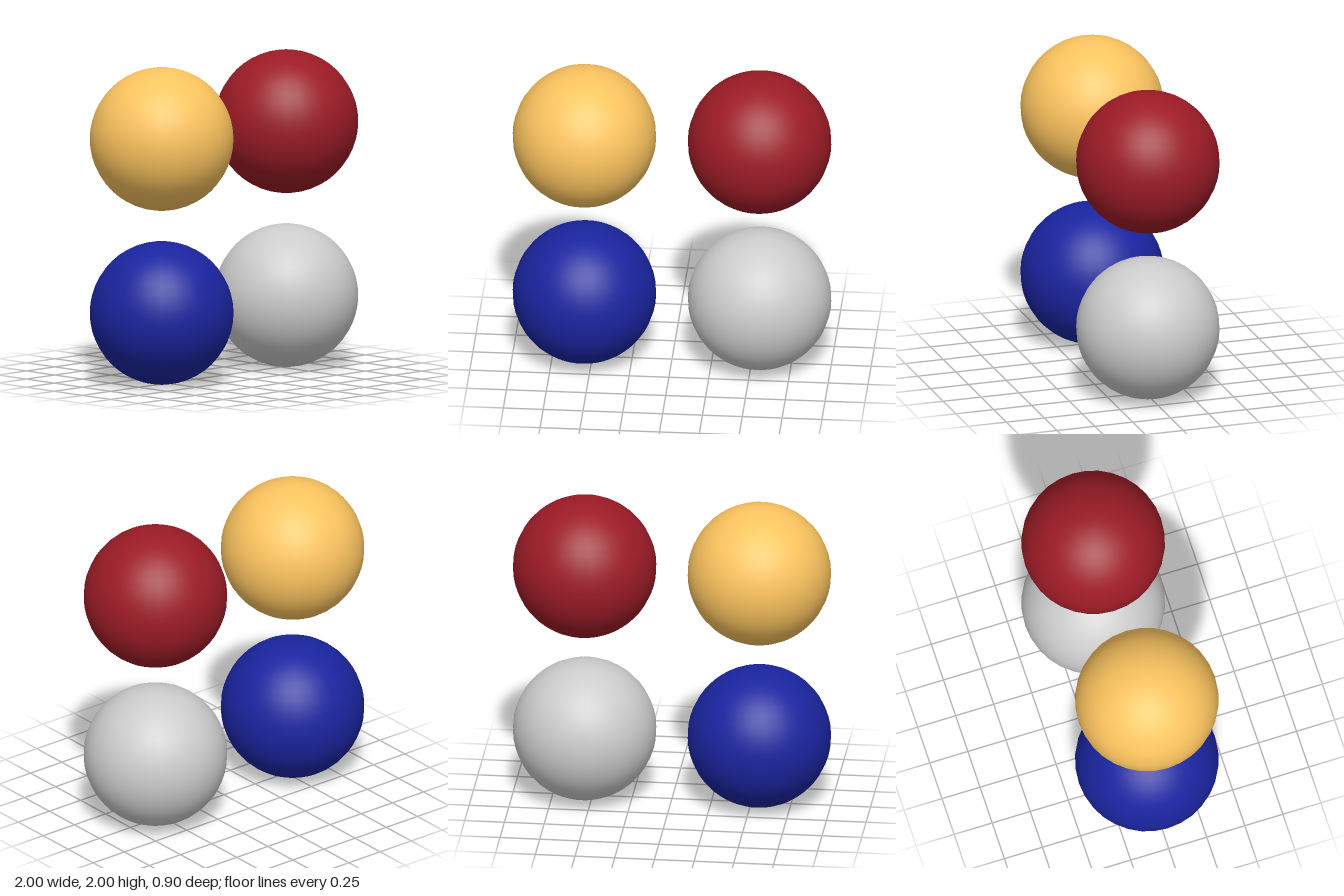
import * as THREE from 'three';

export function createModel() {
  const model = new THREE.Group();
  model.name = 'sphereGrid';

  // Four equal balls in a two-by-two upright grid
  const ball = new THREE.SphereGeometry(0.45, 32, 24);
  const balls = [
    ['goldBall', 0xfcc45f, -0.55, 1.55],
    ['redBall', 0x9c1b26, 0.55, 1.55],
    ['blueBall', 0x1a249f, -0.55, 0.45],
    ['greyBall', 0xcccccc, 0.55, 0.45],
  ];

  for (const [name, color, x, y] of balls) {
    const mesh = new THREE.Mesh(ball, new THREE.MeshStandardMaterial({ color }));
    mesh.name = name;
    mesh.position.set(x, y, 0);
    model.add(mesh);
  }
  return model;
}
